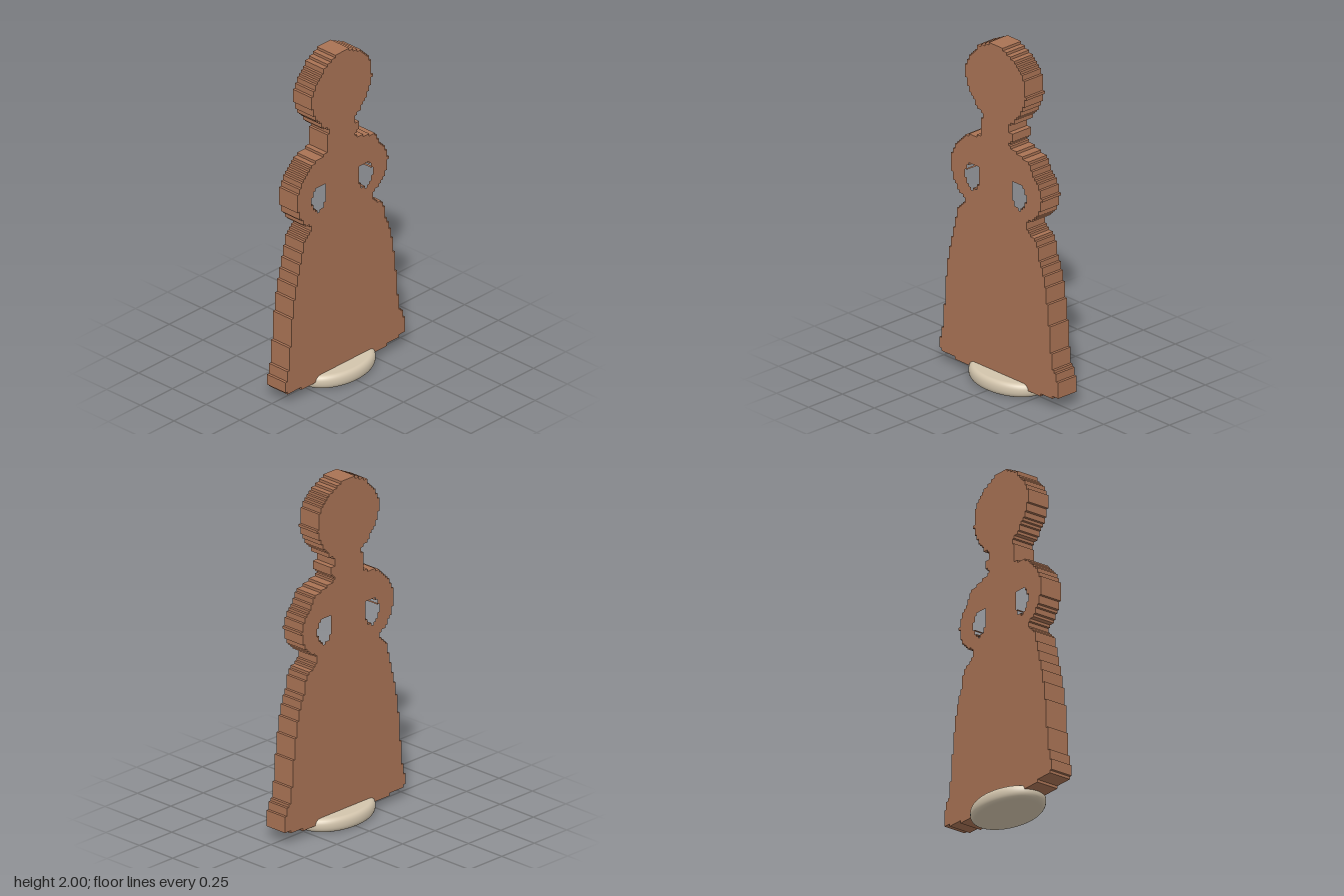
import * as THREE from 'three';

const CELL = 0.0155;
const DEPTH = 0.137;

// Turns a closed polyline into a staircase outline on a square grid
function stepped(points) {
  const out = [];
  const push = (i, j) => {
    const n = out.length;
    if (n && out[n - 1][0] === i && out[n - 1][1] === j) return;
    // merge straight runs
    if (n > 1) {
      const [a, b] = [out[n - 2], out[n - 1]];
      if ((a[0] === b[0] && b[0] === i) || (a[1] === b[1] && b[1] === j)) out.pop();
    }
    out.push([i, j]);
  };
  points.forEach(([x0, y0], k) => {
    const [x1, y1] = points[(k + 1) % points.length];
    for (let s = 0; s < 60; s++) {
      const t = s / 60;
      const i = Math.round((x0 + (x1 - x0) * t) / CELL);
      const j = Math.round((y0 + (y1 - y0) * t) / CELL);
      const last = out[out.length - 1];
      if (last && last[0] !== i && last[1] !== j) push(i, last[1]);
      push(i, j);
    }
  });
  const [first, last] = [out[0], out[out.length - 1]];
  if (first[0] === last[0] && first[1] === last[1]) out.pop();
  else if (first[0] !== last[0] && first[1] !== last[1]) out.push([first[0], last[1]]);
  return out.map(([i, j]) => new THREE.Vector2(i * CELL, j * CELL));
}

// Figure outline, from the hem up each side
const rightSide = [
  [-0.25, 0.04], [-0.30, 0.05], [-0.40, 0.06], [-0.465, 0.075], [-0.465, 0.14], [-0.45, 0.15],
  [-0.43, 0.27], [-0.42, 0.45], [-0.40, 0.6], [-0.375, 0.72], [-0.35, 0.82], [-0.33, 0.9],
  [-0.32, 0.95], [-0.28, 0.98], [-0.25, 1.01], [-0.30, 1.04], [-0.35, 1.1], [-0.375, 1.17],
  [-0.375, 1.24], [-0.34, 1.3], [-0.30, 1.36], [-0.25, 1.4], [-0.19, 1.41], [-0.13, 1.44],
  [-0.14, 1.46], [-0.14, 1.53], [-0.12, 1.56], [-0.16, 1.58], [-0.21, 1.64], [-0.25, 1.71],
  [-0.265, 1.77], [-0.25, 1.83], [-0.22, 1.88], [-0.16, 1.95], [-0.1, 1.98], [-0.05, 2],
];
const leftSide = [
  [0.01, 2], [0.05, 1.98], [0.12, 1.95], [0.17, 1.9], [0.205, 1.83], [0.21, 1.75],
  [0.19, 1.69], [0.16, 1.64], [0.12, 1.59], [0.07, 1.56], [0.08, 1.53], [0.105, 1.51],
  [0.1, 1.47], [0.08, 1.45], [0.1, 1.43], [0.17, 1.41], [0.23, 1.39], [0.26, 1.34],
  [0.31, 1.27], [0.335, 1.2], [0.325, 1.14], [0.29, 1.08], [0.22, 1.04], [0.21, 1.01],
  [0.25, 0.97], [0.3, 0.93], [0.315, 0.85], [0.35, 0.75], [0.375, 0.65], [0.39, 0.52],
  [0.405, 0.38], [0.42, 0.25], [0.45, 0.2], [0.465, 0.14], [0.465, 0.075], [0.37, 0.065],
  [0.3, 0.05], [0.25, 0.04],
];

// Openings between arms and waist
const armGaps = [
  [[-0.23, 1.245], [-0.16, 1.245], [-0.16, 1.13], [-0.175, 1.1], [-0.22, 1.09],
    [-0.25, 1.13], [-0.265, 1.17], [-0.25, 1.21]],
  [[0.105, 1.245], [0.17, 1.245], [0.2, 1.22], [0.215, 1.18], [0.205, 1.12],
    [0.17, 1.09], [0.13, 1.1], [0.11, 1.14]],
];

export function createModel() {
  const group = new THREE.Group();
  group.name = 'figurine';
  const brown = new THREE.MeshStandardMaterial({ color: 0xa87254 });
  brown.name = 'brown';
  const cream = new THREE.MeshStandardMaterial({ color: 0xd2c4ac });
  cream.name = 'cream';

  // Flat cut-out figure
  const shape = new THREE.Shape(stepped([...rightSide, ...leftSide]));
  for (const gap of armGaps) shape.holes.push(new THREE.Path(stepped(gap)));
  const geometry = new THREE.ExtrudeGeometry(shape, { depth: DEPTH, bevelEnabled: false });
  geometry.translate(0, 0, -DEPTH / 2 - 0.001);
  const figure = new THREE.Mesh(geometry, brown);
  figure.name = 'figure';
  group.add(figure);

  // Oval foot with rounded rim
  const radius = 0.253, height = 0.08, fillet = 0.036;
  const profile = [new THREE.Vector2(0, 0), new THREE.Vector2(radius - fillet - 0.004, 0)];
  for (const [cy, start] of [[fillet, -90], [height - fillet, 0]]) {
    for (let k = 0; k <= 6; k++) {
      const a = THREE.MathUtils.degToRad(start + k * 15);
      profile.push(new THREE.Vector2(radius - fillet + fillet * Math.cos(a), cy + fillet * Math.sin(a)));
    }
  }
  profile.push(new THREE.Vector2(radius - fillet - 0.004, height), new THREE.Vector2(0, height));
  const base = new THREE.Mesh(new THREE.LatheGeometry(profile, 64), cream);
  base.name = 'base';
  base.scale.z = 0.167 / radius;
  group.add(base);

  return group;
}
